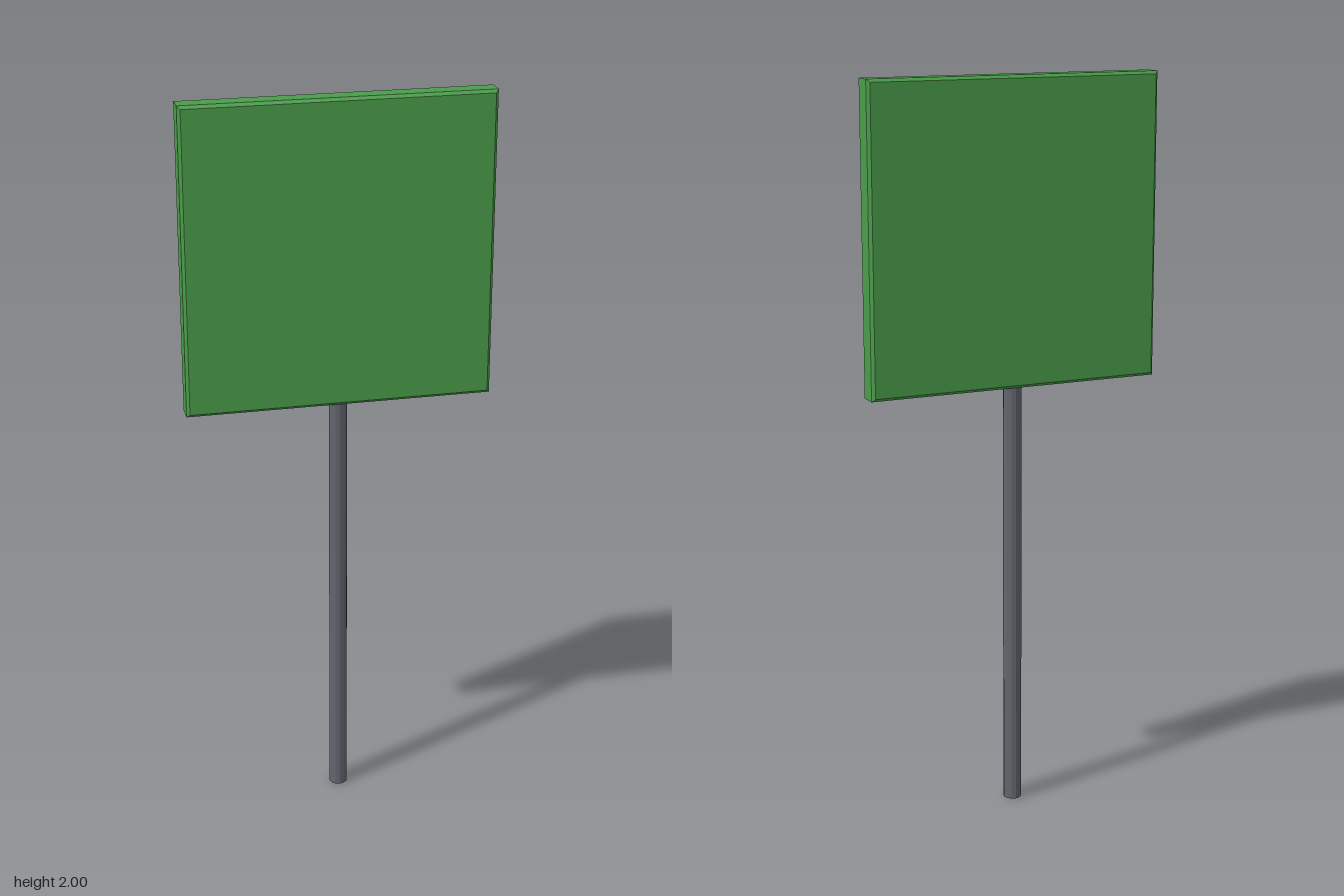
import * as THREE from 'three';

const PANEL_SIZE = 0.82, PANEL_DEPTH = 0.066, BEVEL = 0.008;
const POLE_RADIUS = 0.025, POLE_HEIGHT = 1.185;

export function createModel() {
  const model = new THREE.Group();
  model.name = 'signpost';

  const green = new THREE.MeshStandardMaterial({ color: 0x4a9c4a, flatShading: true });
  green.name = 'panel green';
  const grey = new THREE.MeshStandardMaterial({ color: 0x62656d, flatShading: true });
  grey.name = 'pole grey';

  // Square board with chamfered front and back rims
  const h = PANEL_SIZE / 2 - BEVEL;
  const outline = new THREE.Shape([
    new THREE.Vector2(-h, -h), new THREE.Vector2(h, -h),
    new THREE.Vector2(h, h), new THREE.Vector2(-h, h),
  ]);
  const boardGeometry = new THREE.ExtrudeGeometry(outline, {
    depth: PANEL_DEPTH - 2 * BEVEL,
    bevelEnabled: true, bevelSize: BEVEL, bevelThickness: BEVEL, bevelSegments: 1,
  });
  boardGeometry.center();
  const board = new THREE.Mesh(boardGeometry, green);
  board.name = 'signBoard';
  board.position.y = 2 - PANEL_SIZE / 2;
  model.add(board);

  // Slim pole from the ground to the underside of the board
  const pole = new THREE.Mesh(
    new THREE.CylinderGeometry(POLE_RADIUS, POLE_RADIUS, POLE_HEIGHT, 12), grey);
  pole.name = 'pole';
  pole.position.y = POLE_HEIGHT / 2;
  model.add(pole);

  return model;
}
